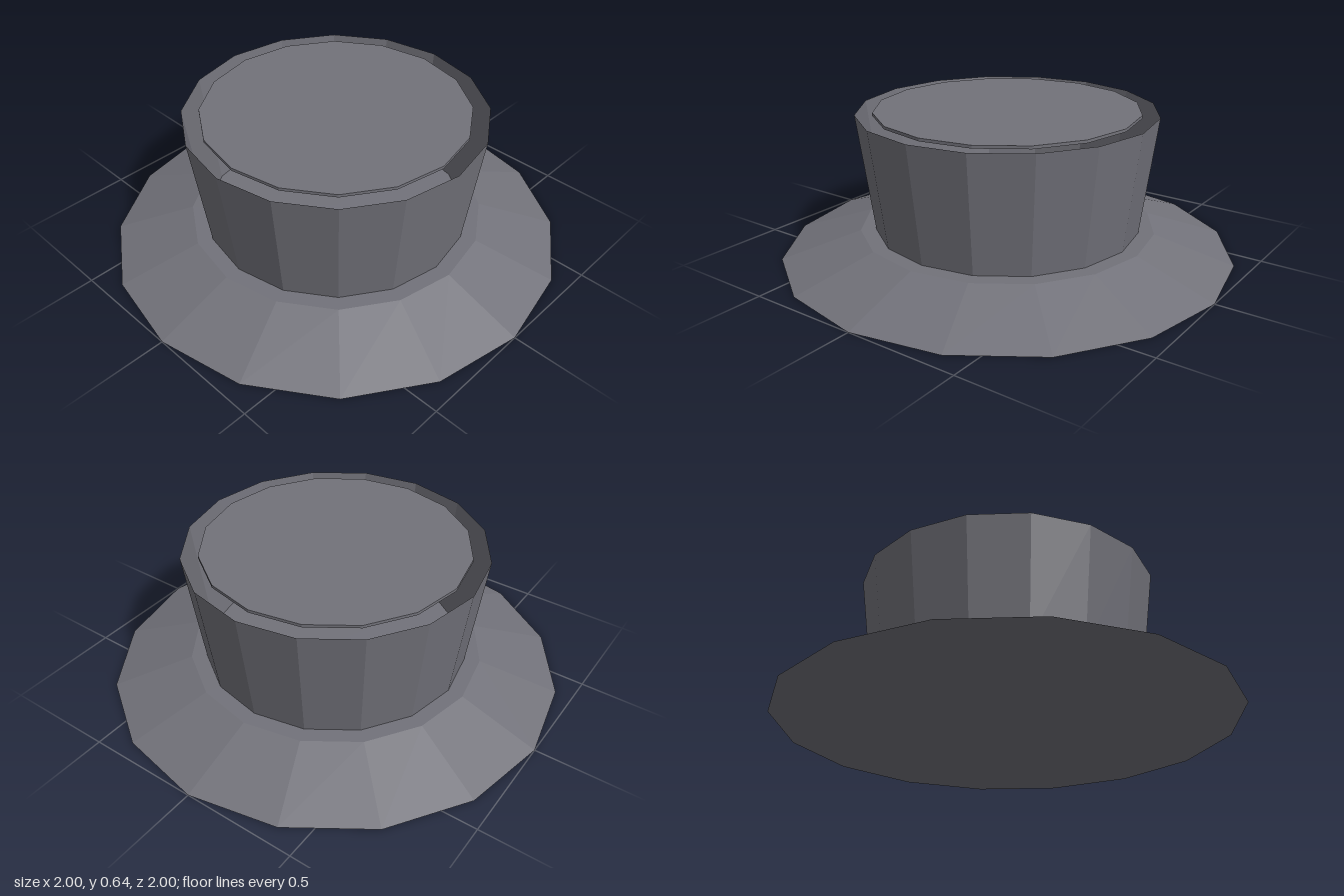
import * as THREE from 'three';

const SIDES = 16;
const COLOR = 0x72727a;

export function createModel() {
  const model = new THREE.Group();
  const solid = new THREE.MeshStandardMaterial({ color: COLOR, flatShading: true });
  const thin = new THREE.MeshStandardMaterial({ color: COLOR, flatShading: true, side: THREE.DoubleSide });

  // Adds a tapered ring or drum standing between two heights
  function addDrum(name, rTop, rBottom, y0, y1, open, material) {
    const geometry = new THREE.CylinderGeometry(rTop, rBottom, y1 - y0, SIDES, 1, open);
    geometry.translate(0, (y0 + y1) / 2, 0);
    const mesh = new THREE.Mesh(geometry, material);
    mesh.name = name;
    model.add(mesh);
  }

  // Wide sloping foot, closed above and below
  addDrum('base', 0.653, 1, 0, 0.115, false, solid);

  // Thin flaring wall, open at the top
  addDrum('wall', 0.653, 0.585, 0.115, 0.636, true, thin);

  // Thin plate floating level with the rim, leaving a gap all round
  addDrum('topPlate', 0.578, 0.578, 0.63, 0.643, false, solid);

  return model;
}
